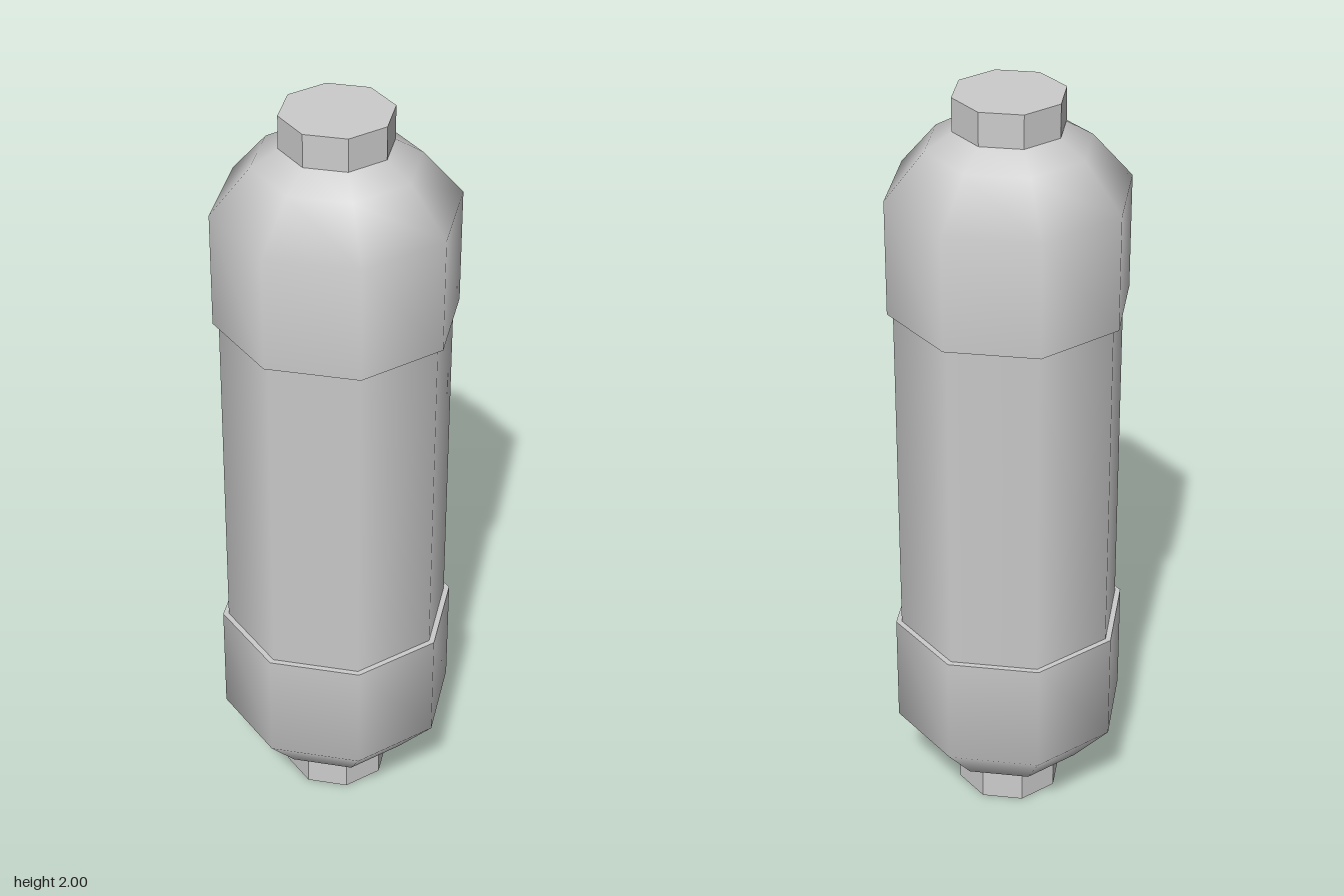
import * as THREE from 'three';

const SIDES = 8;

export function createModel() {
  const model = new THREE.Group();
  const smooth = new THREE.MeshStandardMaterial({ color: 0xcccccc });
  const flat = new THREE.MeshStandardMaterial({ color: 0xcccccc, flatShading: true });

  const add = (parent, name, geometry, material, y) => {
    const mesh = new THREE.Mesh(geometry, material);
    mesh.name = name;
    mesh.position.y = y;
    parent.add(mesh);
  };

  // Middle tube, its ends hidden in the caps
  add(model, 'bodyTube', new THREE.CylinderGeometry(0.29, 0.29, 0.92, SIDES, 1, true), smooth, 1);

  // Domed sleeve profile, measured from the middle of the capsule
  const profile = [[0.305, 0.455], [0.305, 0.755], [0.205, 0.872], [0.13, 0.918]]
    .map(([r, y]) => new THREE.Vector2(r, y));
  const dome = new THREE.LatheGeometry(profile, SIDES);
  const rim = new THREE.RingGeometry(0.285, 0.305, SIDES).rotateX(Math.PI / 2);
  const plug = new THREE.CylinderGeometry(0.139, 0.139, 0.085, SIDES);

  // Identical end caps, the lower one turned upside down
  for (const [name, turn] of [['topCap', 0], ['bottomCap', Math.PI]]) {
    const cap = new THREE.Group();
    cap.name = name;
    add(cap, name + 'Dome', dome, smooth, 0);
    add(cap, name + 'Rim', rim, flat, 0.455);
    add(cap, name + 'Plug', plug, flat, 0.9575);
    cap.position.y = 1;
    cap.rotation.x = turn;
    model.add(cap);
  }

  return model;
}
